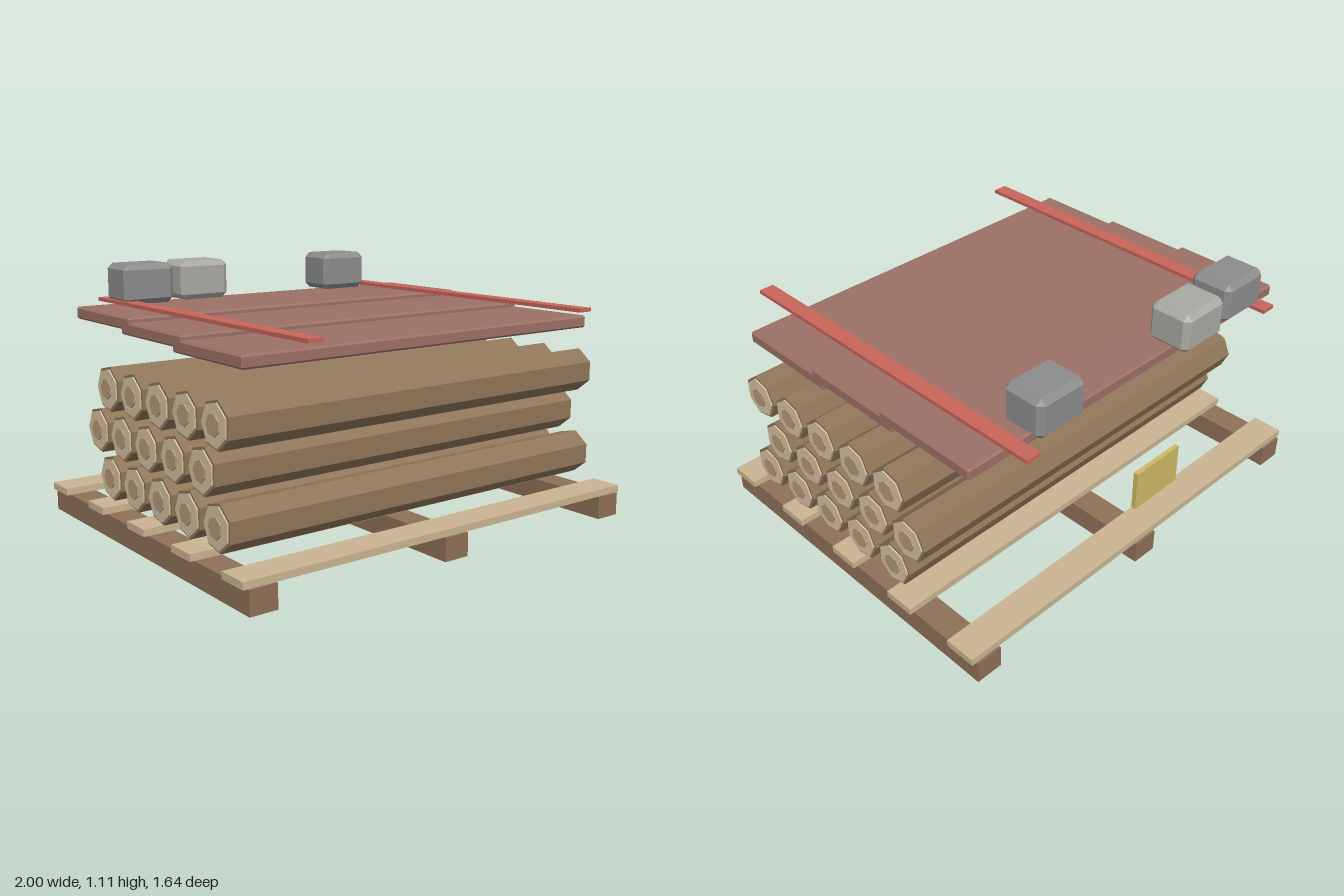
import * as THREE from 'three';
import { ConvexGeometry } from 'three/addons/geometries/ConvexGeometry.js';

const mat = (color) => {
  const m = new THREE.MeshStandardMaterial({ flatShading: true });
  m.color.set(color);
  return m;
};

// Box whose edges and corners are cut off by c
function chamferBox(w, h, d, c) {
  const half = [w / 2, h / 2, d / 2];
  const points = [];
  for (const sx of [-1, 1]) for (const sy of [-1, 1]) for (const sz of [-1, 1]) {
    for (let full = 0; full < 3; full++) {
      const p = [sx, sy, sz].map((s, i) => s * (half[i] - (i === full ? 0 : c)));
      points.push(new THREE.Vector3(...p));
    }
  }
  return new ConvexGeometry(points);
}

// Seven-sided bar lying along x
function bar(radius, length) {
  return new THREE.CylinderGeometry(radius, radius, length, 7, 1, false, Math.PI).rotateZ(-Math.PI / 2);
}

export function createModel() {
  const model = new THREE.Group();
  model.name = 'coveredLogStack';
  const add = (parent, name, geometry, material, x, y, z) => {
    const mesh = new THREE.Mesh(geometry, material);
    mesh.name = name;
    mesh.position.set(x, y, z);
    parent.add(mesh);
    return mesh;
  };
  const group = (name) => {
    const g = new THREE.Group();
    g.name = name;
    model.add(g);
    return g;
  };

  const runnerMat = mat(0x8f7057), slatMat = mat(0xcab592);
  const barkMat = mat(0x8f7558), endMat = mat(0xd6c2a0), coreMat = mat(0xb59a78);
  const panelMat = mat(0x9c7066), strapMat = mat(0xc8645a), tagMat = mat(0xcdb965);
  const stoneMat = mat(0x8c8c8c), paleStoneMat = mat(0xa8a9a2);

  // Pallet: three runners carrying five slats
  const pallet = group('pallet');
  const runnerGeo = new THREE.BoxGeometry(0.12, 0.1, 1.6);
  for (const x of [-0.92, 0, 0.92]) add(pallet, 'runner', runnerGeo, runnerMat, x, 0.05, 0.01);
  const slatGeo = new THREE.BoxGeometry(2, 0.03, 0.14);
  for (let i = 0; i < 5; i++) add(pallet, 'slat', slatGeo, slatMat, 0, 0.115, 0.73 - i * 0.36);

  // Logs: three staggered rows, each log with pale cut ends and a darker core
  const logs = group('logs');
  const barkGeo = bar(0.097, 1.906), endGeo = bar(0.086, 1.918), coreGeo = bar(0.044, 1.93);
  for (let row = 0; row < 3; row++) {
    for (let i = 0; i < 5; i++) {
      const log = new THREE.Group();
      log.name = 'log';
      log.position.set(0, 0.254 + row * 0.19, 0.56 - i * 0.21 - (row === 1 ? 0.1 : 0));
      add(log, 'bark', barkGeo, barkMat, 0, 0, 0);
      add(log, 'cutEnds', endGeo, endMat, 0, 0, 0);
      add(log, 'core', coreGeo, coreMat, 0, 0, 0);
      logs.add(log);
    }
  }

  // Cover: three overlapping panels stepping up to the back
  const cover = group('cover');
  const panelGeo = chamferBox(1.796, 0.053, 0.494, 0.008);
  for (let i = 0; i < 3; i++) add(cover, 'coverPanel', panelGeo, panelMat, 0, 0.864 + i * 0.021, 0.412 - i * 0.422);

  // Straps across the cover
  const strapGeo = new THREE.BoxGeometry(0.068, 0.016, 1.62);
  for (const x of [-0.7, 0.7]) add(cover, 'strap', strapGeo, strapMat, x, 0.944, 0.01);

  // Weights along the back edge
  const stoneGeo = chamferBox(0.244, 0.176, 0.198, 0.024);
  add(cover, 'weightStone', stoneGeo, stoneMat, -0.6, 1.024, -0.644);
  add(cover, 'weightStone', stoneGeo, paleStoneMat, -0.3, 1.024, -0.671);
  add(cover, 'weightStone', stoneGeo, stoneMat, 0.5, 1.024, -0.655);

  // Plain tag behind the stack
  add(model, 'tag', new THREE.BoxGeometry(0.26, 0.18, 0.02), tagMat, 0, 0.454, -0.81);
  return model;
}
